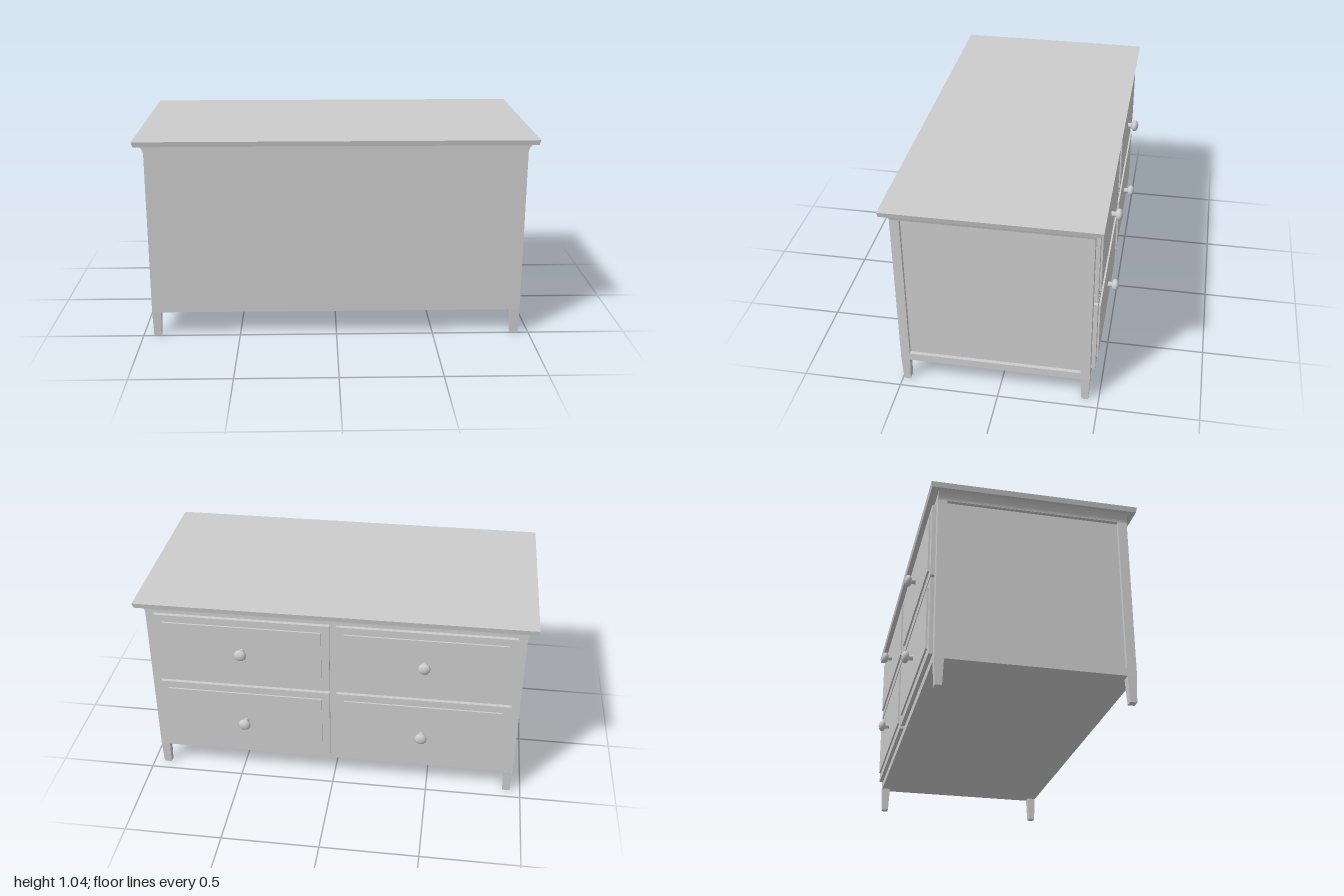
import * as THREE from 'three';

const BACK = 0.5, FACE = -0.453, BASE = 0.13, TOP = 1.013, SIDE = 0.95;
const mat = new THREE.MeshStandardMaterial({ color: 0xcccccc });

function add(parent, name, geometry) {
  const mesh = new THREE.Mesh(geometry, mat);
  mesh.name = name;
  parent.add(mesh);
  return mesh;
}

// Box given by its limits on each axis
function box(x0, x1, y0, y1, z0, z1) {
  return new THREE.BoxGeometry(x1 - x0, y1 - y0, z1 - z0)
    .translate((x0 + x1) / 2, (y0 + y1) / 2, (z0 + z1) / 2);
}

// Box whose bottom face is scaled about its own centre
function tapered(w, h, d, sx, sz) {
  const g = new THREE.BoxGeometry(w, h, d);
  const p = g.attributes.position;
  for (let i = 0; i < p.count; i++) {
    if (p.getY(i) < 0) p.setXYZ(i, p.getX(i) * sx, p.getY(i), p.getZ(i) * sz);
  }
  g.computeVertexNormals();
  return g;
}

// Side frame: posts and rails around an opening (shape x runs along -z)
function sideFrame() {
  const s = new THREE.Shape([[-BACK, BASE], [-FACE, BASE], [-FACE, TOP], [-BACK, TOP]]
    .map(p => new THREE.Vector2(...p)));
  s.holes.push(new THREE.Path([[-0.454, 0.17], [-0.454, 0.972], [0.407, 0.972], [0.407, 0.17]]
    .map(p => new THREE.Vector2(...p))));
  return new THREE.ExtrudeGeometry(s, { depth: 0.02, bevelEnabled: false }).rotateY(Math.PI / 2);
}

// Concave moulding under the overhang, for the +x side
function cove() {
  const s = new THREE.Shape();
  s.moveTo(0.945, 0.973);
  s.lineTo(SIDE, 0.973);
  s.quadraticCurveTo(0.955, 0.998, 0.976, TOP);
  s.lineTo(0.945, TOP);
  return new THREE.ExtrudeGeometry(s, { depth: BACK - FACE, bevelEnabled: false, curveSegments: 8 })
    .translate(0, 0, FACE);
}

// Round knob on a short stem, pointing to -z
function knob() {
  const pts = [[0.014, 0], [0.013, 0.022]];
  for (let i = 1; i <= 12; i++) {
    const a = -Math.PI / 2 + (Math.PI * (i + 1)) / 13;
    pts.push([Math.max(0, 0.031 * Math.cos(a)), 0.039 + 0.02 * Math.sin(a)]);
  }
  return new THREE.LatheGeometry(pts.map(p => new THREE.Vector2(...p)), 24).rotateX(-Math.PI / 2);
}

export function createModel() {
  const model = new THREE.Group();
  model.name = 'chestOfDrawers';

  // Carcass and table top
  add(model, 'carcass', box(-0.93, 0.93, BASE, TOP, FACE, BACK));
  add(model, 'tableTop', tapered(2, 0.026, 1.034, 0.994, 0.991)).position.set(0, 1.026, 0.023);

  for (const side of [-1, 1]) {
    // Framed side with recessed panel
    add(model, 'sideFrame', sideFrame()).position.x = side > 0 ? 0.93 : -SIDE;
    const moulding = add(model, 'sideMoulding', cove());
    if (side < 0) {
      moulding.rotation.y = Math.PI;
      moulding.position.z = BACK + FACE;
    }
    // Tapered legs
    for (const z of [0.477, -0.431]) {
      add(model, 'leg', tapered(0.046, BASE, 0.045, 0.84, 0.74))
        .position.set(side * 0.927, BASE / 2, z);
    }
    // Drawers: slab front, raised panel and knob
    for (const [y0, y1] of [[0.17, 0.566], [0.58, 0.97]]) {
      const drawer = new THREE.Group();
      drawer.name = 'drawer';
      const cy = (y0 + y1) / 2, h = (y1 - y0) / 2;
      add(drawer, 'drawerFront', box(-0.444, 0.444, -h, h, -0.02, 0.005));
      add(drawer, 'raisedPanel', box(-0.404, 0.404, 0.042 - h, h - 0.038, -0.029, -0.015));
      add(drawer, 'knob', knob()).position.set(0, cy > 0.5 ? 0.018 : -0.011, -0.028);
      drawer.position.set(side * 0.461, cy, FACE);
      model.add(drawer);
    }
  }
  return model;
}
